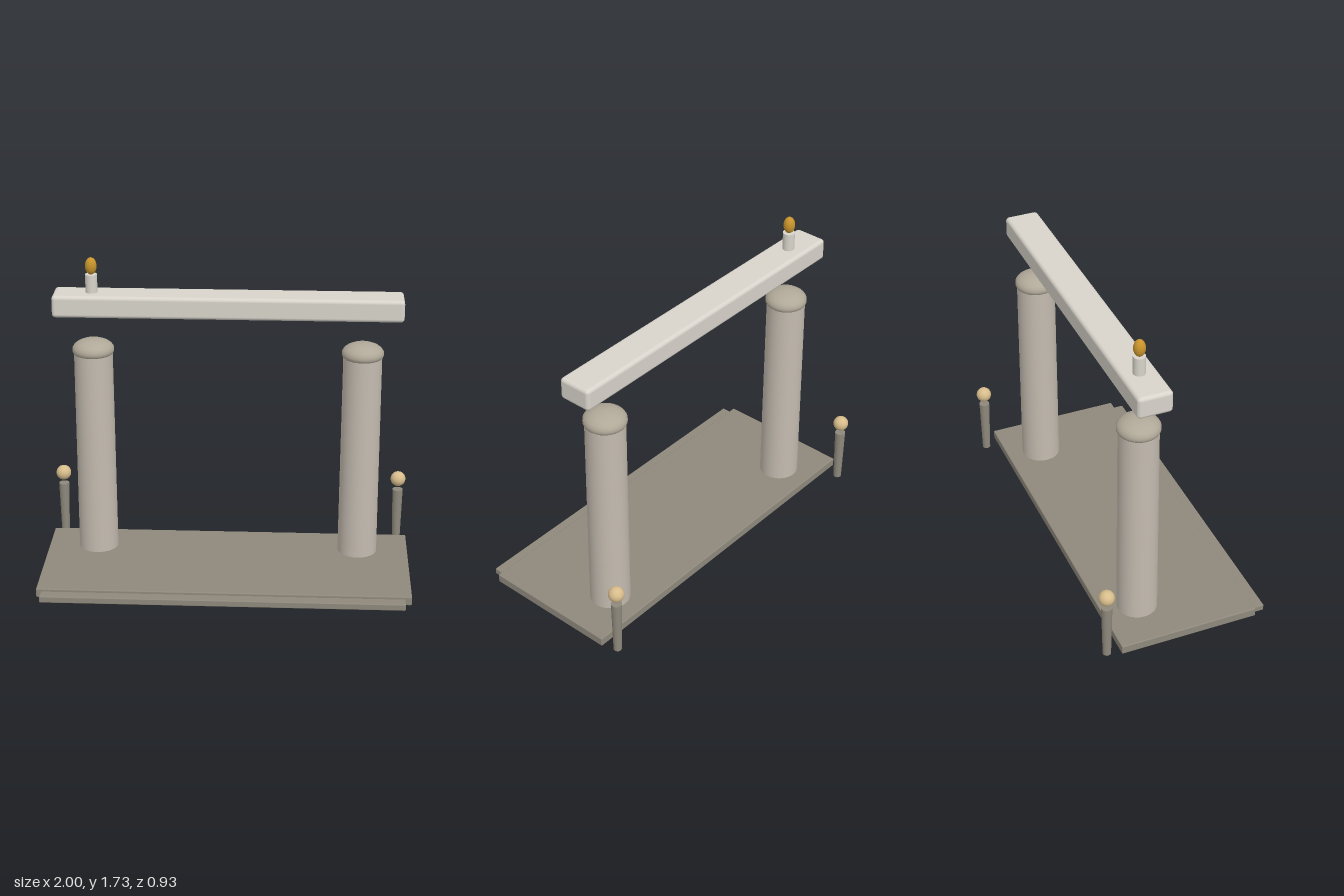
import * as THREE from 'three';
import { RoundedBoxGeometry } from 'three/addons/geometries/RoundedBoxGeometry.js';

const mat = (color) => new THREE.MeshStandardMaterial({ color, roughness: 0.8 });

export function createModel() {
  const model = new THREE.Group();
  const stone = mat(0x8f897c), pillarStone = mat(0xc4bbb0), capStone = mat(0xb0a898);
  const pale = mat(0xd8d4cb), gold = mat(0xc8942c), sand = mat(0xd8bd8c);

  function add(name, geometry, material, x, y, z, parent = model) {
    const mesh = new THREE.Mesh(geometry, material);
    mesh.name = name;
    mesh.position.set(x, y, z);
    parent.add(mesh);
    return mesh;
  }

  // Slab with a lower front step
  add('baseSlab', new RoundedBoxGeometry(2, 0.05, 0.76, 2, 0.006), stone, 0, 0.035, 0.02);
  add('frontStep', new RoundedBoxGeometry(1.94, 0.036, 0.08, 2, 0.005), stone, -0.005, 0.027, 0.42);

  // Inlay showing on the underside of the slab
  const inlay = new THREE.Shape([
    [0.42, -0.02], [0.38, 0.22], [-0.46, 0.2], [-0.466, 0.1], [0.08, 0.144],
  ].map(([x, y]) => new THREE.Vector2(x, y)));
  const inlayGeo = new THREE.ExtrudeGeometry(inlay, { depth: 0.003, bevelEnabled: false });
  inlayGeo.rotateX(-Math.PI / 2);
  add('undersideInlay', inlayGeo, sand, 0, 0.008, 0);

  // Pillars with domed caps
  const capProfile = [[0, 0], [0.1, 0], [0.107, 0.006], [0.112, 0.016], [0.112, 0.024], [0.111, 0.036],
    [0.102, 0.05], [0.085, 0.063], [0.06, 0.074], [0.03, 0.08], [0, 0.082]]
    .map(([r, y]) => new THREE.Vector2(r, y));
  for (const [side, x] of [['right', -0.725], ['left', 0.72]]) {
    const pillar = new THREE.Group();
    pillar.name = side + 'Pillar';
    pillar.position.set(x, 0, -0.163);
    add('shaft', new THREE.CylinderGeometry(0.104, 0.108, 1.17, 40), pillarStone, 0, 0.615, 0, pillar);
    add('cap', new THREE.LatheGeometry(capProfile, 40), capStone, 0, 1.197, 0, pillar);
    model.add(pillar);
  }

  // Floating lintel beam
  add('beam', new RoundedBoxGeometry(1.86, 0.12, 0.185, 4, 0.02), pale, 0, 1.482, -0.163);

  // Candle on the beam
  add('candle', new THREE.CylinderGeometry(0.032, 0.032, 0.1, 24), pale, -0.725, 1.59, -0.163);
  add('flame', new THREE.SphereGeometry(0.031, 24, 16), gold, -0.725, 1.685, -0.163).scale.y = 1.5;

  // Tapered rear posts with floating balls
  for (const [side, s] of [['right', -1], ['left', 1]]) {
    add(side + 'Post', new THREE.CylinderGeometry(0.029, 0.022, 0.315, 20), stone, s * 0.95, 0.1575, -0.425);
    add(side + 'Ball', new THREE.SphereGeometry(0.042, 24, 16), sand, s * 0.95, 0.379, -0.425);
  }
  return model;
}
